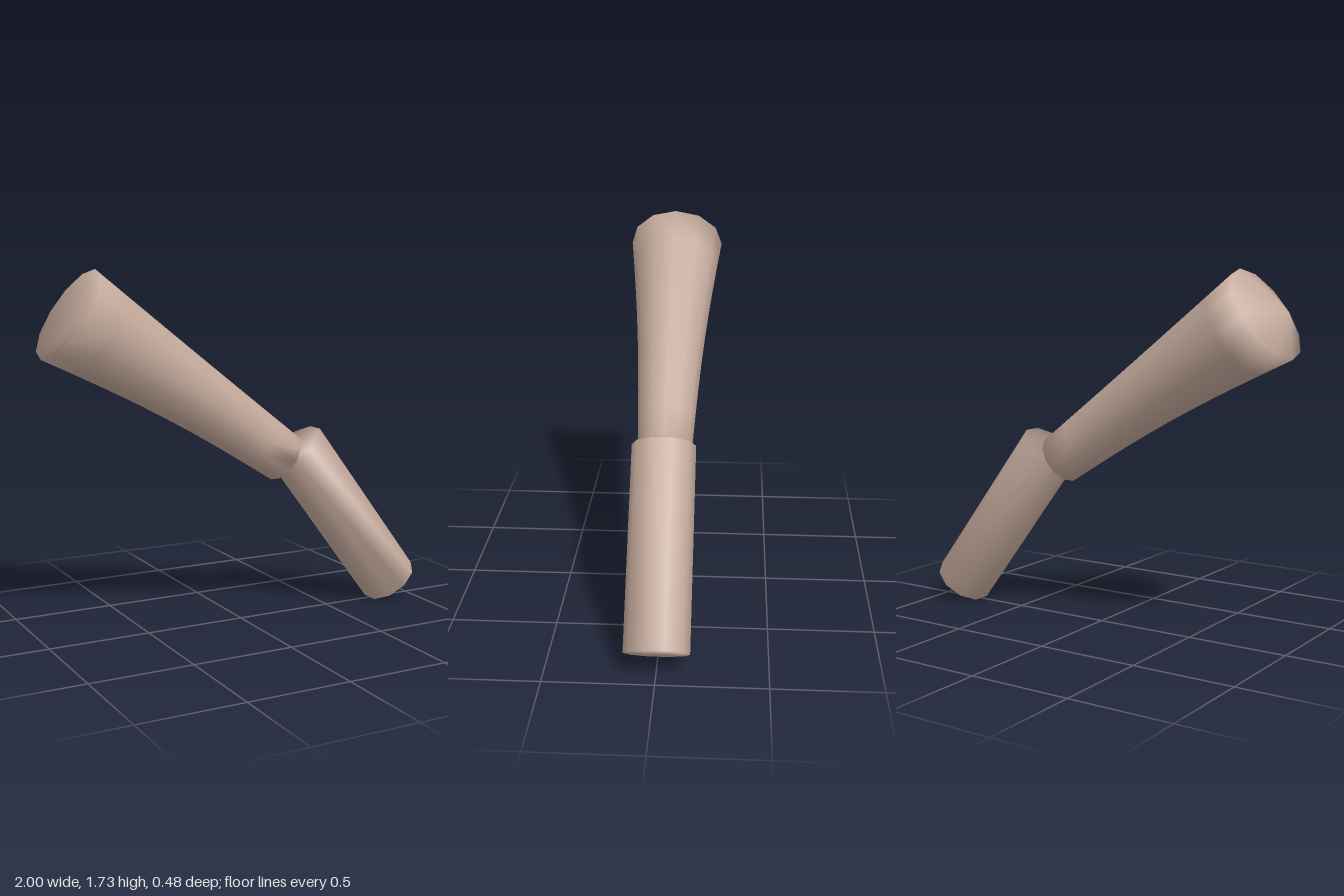
import * as THREE from 'three';

// Smooth closed tube between two points in the xy plane.
// radius(t) gives the ring size, bow(t) shifts the axis sideways.
function limb(start, end, sides, rings, radius, bow) {
  const d = end.clone().sub(start).normalize();
  const u = new THREE.Vector2(-d.y, d.x);
  const pos = [], index = [];
  for (let i = 0; i <= rings; i++) {
    const t = i / rings, c = start.clone().lerp(end, t), r = radius(t), b = bow(t);
    for (let j = 0; j < sides; j++) {
      const a = Math.PI / 2 + (j / sides) * Math.PI * 2;
      const k = r * Math.cos(a) + b;
      pos.push(c.x + u.x * k, c.y + u.y * k, r * Math.sin(a));
    }
  }
  for (let i = 0; i < rings; i++) {
    for (let j = 0; j < sides; j++) {
      const a = i * sides + j, b = i * sides + (j + 1) % sides;
      index.push(a, b, a + sides, b, b + sides, a + sides);
    }
  }
  // End caps share the ring vertices so the shading stays soft
  const last = rings * sides;
  for (let j = 1; j < sides - 1; j++) {
    index.push(0, j + 1, j);
    index.push(last, last + j, last + j + 1);
  }
  const g = new THREE.BufferGeometry();
  g.setAttribute('position', new THREE.Float32BufferAttribute(pos, 3));
  g.setIndex(index);
  g.computeVertexNormals();
  return g;
}

export function createModel() {
  const group = new THREE.Group();
  group.name = 'bentLimb';
  const skin = new THREE.MeshStandardMaterial({ color: 0xc4aa9c });
  skin.name = 'dusty beige';

  // Tapered upper limb, slightly waisted and bowed upward
  const upper = new THREE.Mesh(limb(
    new THREE.Vector2(-0.87, 1.538), new THREE.Vector2(0.24, 0.8), 12, 8,
    t => 0.238 - 0.11 * t - 0.014 * Math.sin(Math.PI * t),
    t => 0.012 * Math.sin(Math.PI * t)), skin);
  upper.name = 'upperLimb';

  // Straight lower limb
  const lower = new THREE.Mesh(limb(
    new THREE.Vector2(0.308, 0.85), new THREE.Vector2(0.884, 0.09), 10, 1,
    () => 0.15, () => 0), skin);
  lower.name = 'lowerLimb';

  group.add(upper, lower);
  return group;
}
